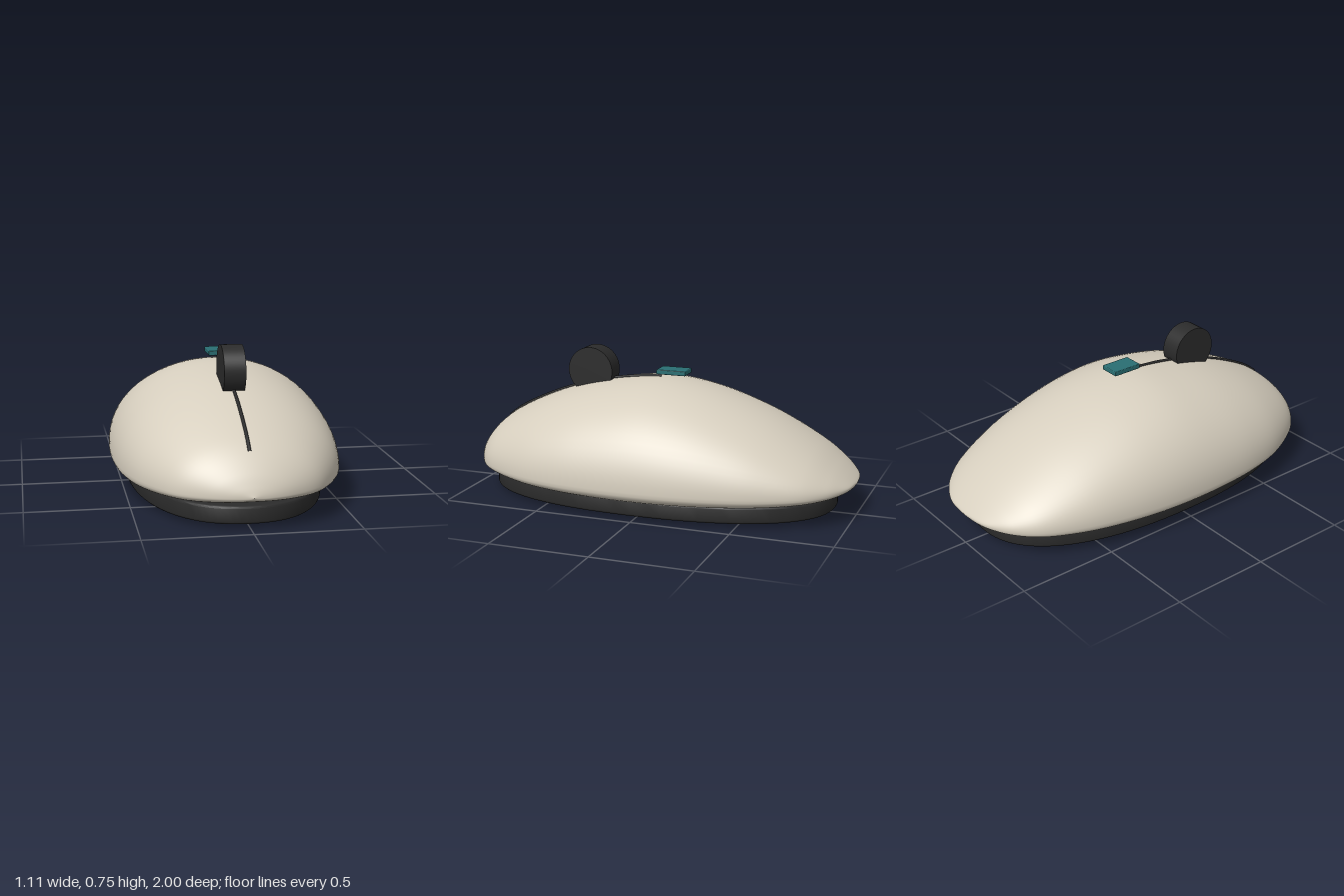
import * as THREE from 'three';
import { toCreasedNormals } from 'three/addons/utils/BufferGeometryUtils.js';
import { RoundedBoxGeometry } from 'three/addons/geometries/RoundedBoxGeometry.js';

const RIM = 0.165; // height of the shell's widest line

// Shell stations from back to front: half width, crown height above the rim, z
const STATIONS = [
  [0, 0, -1], [0.13, 0.018, -0.985], [0.215, 0.052, -0.95], [0.29, 0.095, -0.9],
  [0.378, 0.17, -0.8], [0.466, 0.283, -0.6], [0.516, 0.367, -0.4], [0.545, 0.426, -0.2],
  [0.556, 0.453, 0], [0.552, 0.437, 0.2], [0.531, 0.398, 0.4], [0.48, 0.332, 0.6],
  [0.376, 0.236, 0.8], [0.305, 0.178, 0.88], [0.19, 0.1, 0.95], [0.1, 0.045, 0.982], [0, 0, 1],
];

// Loft: half-ellipse dome above the rim, flatter rounded belly below it
function shellGeometry(rows = 96, cols = 72) {
  const profile = new THREE.CatmullRomCurve3(STATIONS.map((s) => new THREE.Vector3(...s)));
  const positions = [], index = [];
  profile.getPoints(rows).forEach(({ x: w, y: h, z }) => {
    const depth = 0.099 * Math.sqrt(Math.max(0, 1 - z * z));
    for (let j = 0; j < cols; j++) {
      const a = (j / cols) * Math.PI * 2, c = Math.cos(a), s = Math.sin(a);
      const p = s < 0 ? 0.7 : 1;
      positions.push(
        w * Math.sign(c) * Math.abs(c) ** p,
        RIM + (s < 0 ? -depth * Math.abs(s) ** p : h * s),
        z);
    }
  });
  for (let i = 0; i < rows; i++) {
    for (let j = 0; j < cols; j++) {
      const k = (j + 1) % cols;
      const a = i * cols + j, b = i * cols + k, c = a + cols, d = b + cols;
      index.push(a, b, c, b, d, c);
    }
  }
  const g = new THREE.BufferGeometry();
  g.setAttribute('position', new THREE.Float32BufferAttribute(positions, 3));
  g.setIndex(index);
  g.computeVertexNormals();
  return g;
}

// Oval slab with softened edges
function baseGeometry() {
  const bevel = 0.012, pts = [];
  for (let i = 0; i < 96; i++) {
    const a = (i / 96) * Math.PI * 2, c = Math.cos(a), s = Math.sin(a), p = 0.87;
    pts.push(new THREE.Vector2(
      (0.472 - bevel) * Math.sign(c) * Math.abs(c) ** p,
      (0.905 - bevel) * Math.sign(s) * Math.abs(s) ** p));
  }
  const g = new THREE.ExtrudeGeometry(new THREE.Shape(pts), {
    depth: 0.085 - 2 * bevel, bevelEnabled: true, bevelSize: bevel, bevelThickness: bevel, bevelSegments: 3,
  });
  g.rotateX(-Math.PI / 2);
  g.translate(0, 0.02 + bevel, 0.01);
  return toCreasedNormals(g, 0.6);
}

export function createModel() {
  const model = new THREE.Group();
  model.name = 'computerMouse';
  const ivory = new THREE.MeshStandardMaterial({ name: 'ivory', color: 0xd6cebe });
  const charcoal = new THREE.MeshStandardMaterial({ name: 'charcoal', color: 0x2b2b2b });
  const teal = new THREE.MeshStandardMaterial({ name: 'teal', color: 0x2a6f73 });

  const add = (name, geometry, material, x = 0, y = 0, z = 0) => {
    const mesh = new THREE.Mesh(geometry, material);
    mesh.name = name;
    mesh.position.set(x, y, z);
    model.add(mesh);
    return mesh;
  };

  add('shell', shellGeometry(), ivory);
  add('base', baseGeometry(), charcoal);

  // Glide pads under the base
  for (const side of [-1, 1]) {
    add(side > 0 ? 'leftFoot' : 'rightFoot', new RoundedBoxGeometry(0.207, 0.022, 0.5, 2, 0.004),
      charcoal, side * 0.262, 0.011, -0.02);
  }

  // Scroll wheel, axle along x
  const wheel = new THREE.CylinderGeometry(0.12, 0.12, 0.104, 48);
  wheel.rotateZ(Math.PI / 2);
  add('scrollWheel', wheel, charcoal, 0, 0.63, 0.392);

  // Seam between the two buttons, riding on the crown
  const seamPath = new THREE.CatmullRomCurve3(
    STATIONS.filter(([, , z]) => z >= 0 && z < 0.9)
      .map(([, h, z]) => new THREE.Vector3(0, RIM + h + 0.002, Math.max(z, 0.02))));
  add('buttonSeam', new THREE.TubeGeometry(seamPath, 48, 0.008, 8), charcoal);

  // Small key hovering just over the crown
  add('topKey', new RoundedBoxGeometry(0.104, 0.024, 0.155, 2, 0.004), teal, 0, 0.649, -0.045);

  return model;
}
